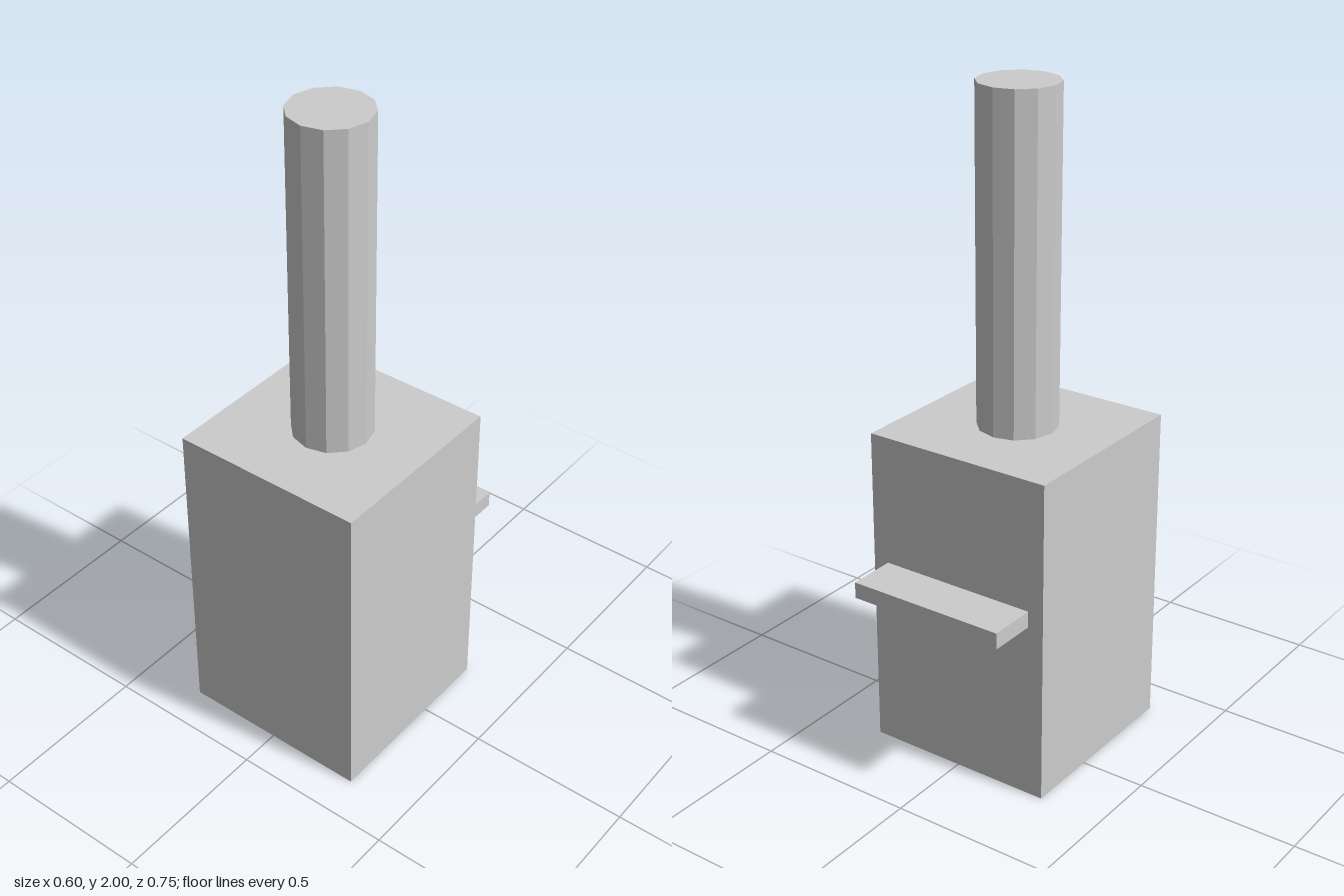
import * as THREE from 'three';

export function createModel() {
  const model = new THREE.Group();
  const grey = new THREE.MeshStandardMaterial({ color: 0xcccccc, flatShading: true });
  grey.name = 'light grey';

  const add = (name, geometry, x, y, z) => {
    const mesh = new THREE.Mesh(geometry, grey);
    mesh.name = name;
    mesh.position.set(x, y, z);
    model.add(mesh);
  };

  // Square block standing on the ground
  add('body', new THREE.BoxGeometry(0.6, 1, 0.6), 0, 0.5, 0.075);
  // Twelve-sided chimney centred on the block
  add('chimney', new THREE.CylinderGeometry(0.12, 0.12, 1, 12), 0, 1.5, 0.075);
  // Thin ledge on the back
  add('shelf', new THREE.BoxGeometry(0.5, 0.05, 0.15), 0, 0.575, -0.3);

  return model;
}
